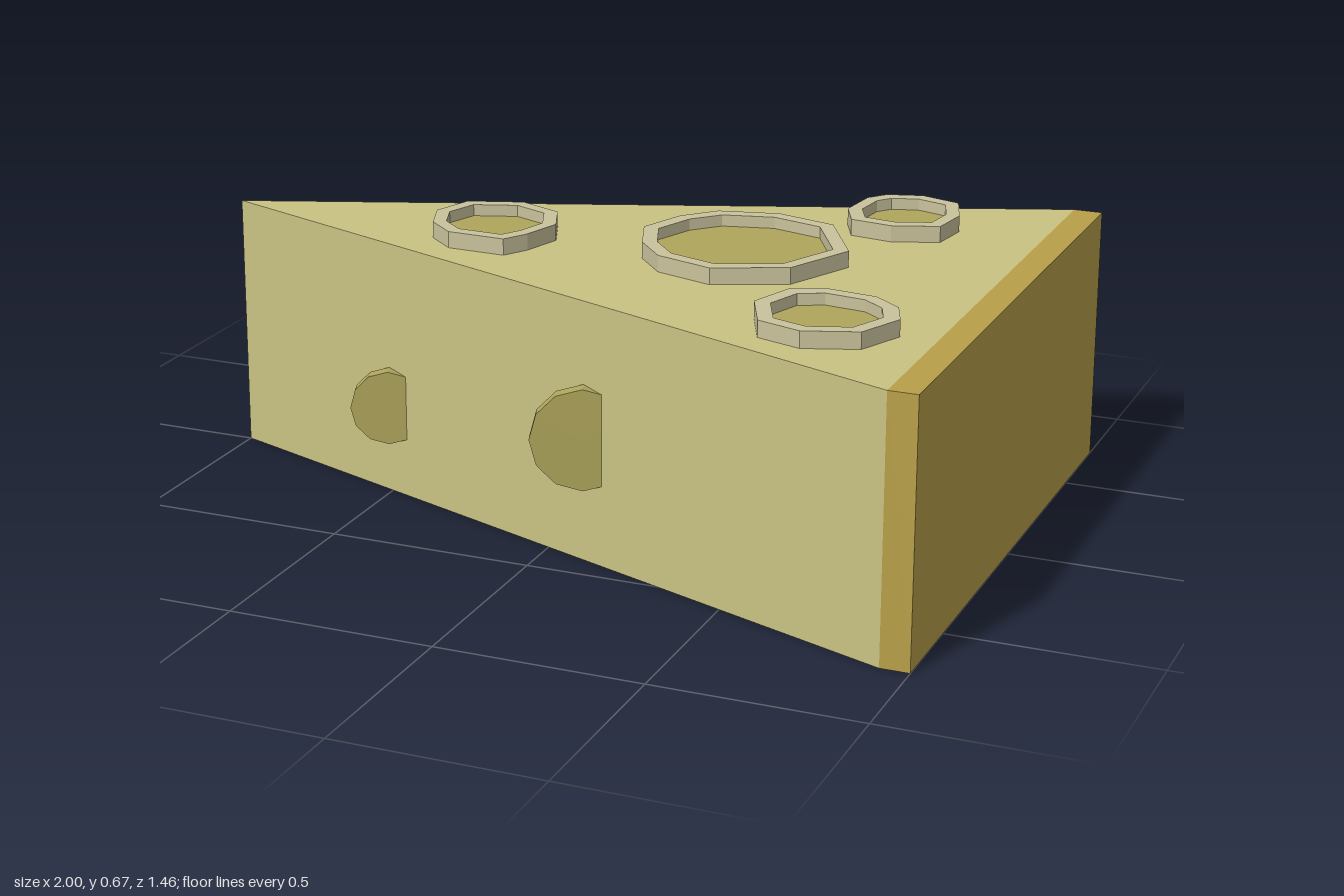
import * as THREE from 'three';

const mat = (name, color) => {
  const m = new THREE.MeshStandardMaterial({ color });
  m.name = name;
  return m;
};

// Prism from a plan outline of [x, z] points, between two heights
function prism(name, outline, bottom, top, material, hole) {
  const toPoints = pts => pts.map(([x, z]) => new THREE.Vector2(x, z));
  const shape = new THREE.Shape(toPoints(outline));
  if (hole) shape.holes.push(new THREE.Path(toPoints(hole)));
  const geo = new THREE.ExtrudeGeometry(shape, { depth: top - bottom, bevelEnabled: false });
  geo.rotateX(Math.PI / 2).translate(0, top, 0);
  const mesh = new THREE.Mesh(geo, material);
  mesh.name = name;
  return mesh;
}

// Outline shrunk towards the middle of its bounds
function shrink(pts, k) {
  const mid = i => {
    const v = pts.map(p => p[i]);
    return (Math.min(...v) + Math.max(...v)) / 2;
  };
  const cx = mid(0), cz = mid(1);
  return pts.map(([x, z]) => [cx + (x - cx) * k, cz + (z - cz) * k]);
}

export function createModel() {
  const cheese = mat('pale cheese', 0xcac283);
  const rind = mat('golden rind', 0xb8a04a);
  const rim = mat('pale rim', 0xc9c29c);
  const hollow = mat('dark hollow', 0xaea55b);
  const model = new THREE.Group();
  model.name = 'cheeseWedge';
  const H = 0.63;

  // Wedge and the rind along its wide end
  model.add(prism('wedge', [[-1, 0], [0.93, -0.73], [0.93, 0.73]], 0, H, cheese));
  model.add(prism('rind', [[0.93, -0.73], [1, -0.73], [1, 0.73], [0.93, 0.73]], 0, H, rind));

  // Uneven raised holes on the top
  const holes = [
    { k: 0.85, pts: [[0.32, -0.285], [0.47, -0.245], [0.575, -0.055], [0.495, 0.12], [0.325, 0.195],
      [0.18, 0.15], [0.105, 0.065], [0.06, -0.055], [0.105, -0.175], [0.175, -0.25]] },
    { k: 0.78, pts: [[-0.29, -0.135], [-0.18, -0.09], [-0.14, 0.01], [-0.17, 0.11], [-0.205, 0.17],
      [-0.35, 0.165], [-0.42, 0.105], [-0.455, 0.01], [-0.42, -0.09]] },
    { k: 0.75, pts: [[0.59, -0.57], [0.69, -0.54], [0.725, -0.435], [0.71, -0.33], [0.6, -0.29],
      [0.495, -0.305], [0.457, -0.39], [0.47, -0.5], [0.505, -0.545]] },
    { k: 0.77, pts: [[0.62, 0.235], [0.745, 0.25], [0.815, 0.305], [0.845, 0.385], [0.795, 0.5],
      [0.67, 0.545], [0.56, 0.51], [0.505, 0.385], [0.545, 0.27]] },
  ];
  for (const { k, pts } of holes) {
    const inner = shrink(pts, k);
    const group = new THREE.Group();
    group.name = 'topHole';
    group.add(prism('holeRim', pts, H, 0.67, rim, inner));
    group.add(prism('holeFloor', inner, H, 0.642, hollow));
    model.add(group);
  }

  // Tilted discs half sunk in the front side
  for (const [x, y, z, r] of [[-0.497, 0.225, 0.206, 0.092], [0.114, 0.308, 0.437, 0.123]]) {
    const geo = new THREE.CylinderGeometry(r, r, 0.037, 12).toNonIndexed();
    geo.computeVertexNormals();
    geo.rotateX(Math.PI / 2).rotateY(0.36);
    const disc = new THREE.Mesh(geo, hollow);
    disc.name = 'sideHole';
    disc.position.set(x, y, z);
    model.add(disc);
  }
  return model;
}
